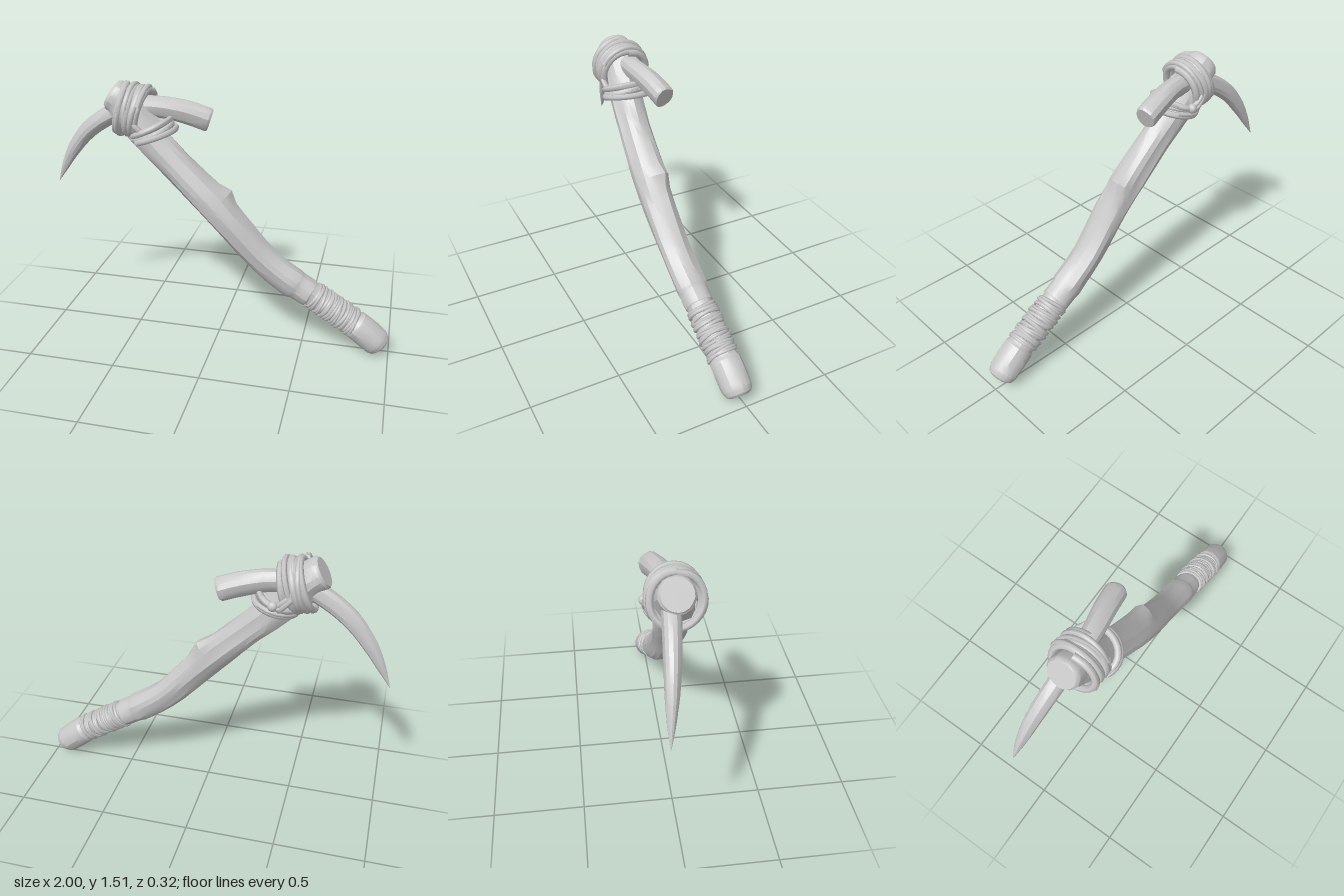
import * as THREE from 'three';
import { toCreasedNormals } from 'three/addons/utils/BufferGeometryUtils.js';

const V = (x, y, z) => new THREE.Vector3(x, y, z);

// Lofts uneven rounds along stations [x, y, z, radius]; rule(angle, point, u) scales the radius
function loft(stations, sides, perSpan, zScale, rule) {
  const curve = new THREE.CatmullRomCurve3(stations.map(s => V(s[0], s[1], s[2])));
  const spans = stations.length - 1, rings = spans * perSpan;
  const pos = [], index = [];
  for (let i = 0; i <= rings; i++) {
    const u = i / rings, k = Math.min(Math.floor(u * spans), spans - 1);
    const radius = THREE.MathUtils.lerp(stations[k][3], stations[k + 1][3], u * spans - k);
    const p = curve.getPoint(u), t = curve.getTangent(u);
    const n = V(0, 0, 1).cross(t).normalize(), b = t.clone().cross(n);
    for (let j = 0; j < sides; j++) {
      const a = j / sides * Math.PI * 2, r = radius * rule(a, p, u);
      const v = p.clone().addScaledVector(n, r * Math.cos(a)).addScaledVector(b, r * zScale * Math.sin(a));
      pos.push(v.x, v.y, v.z);
      if (i < rings) {
        const j2 = (j + 1) % sides, A = i * sides + j, B = i * sides + j2;
        index.push(A, B, A + sides, B, B + sides, A + sides);
      }
    }
  }
  // End caps
  const first = stations[0], last = stations[spans], c = pos.length / 3, top = rings * sides;
  pos.push(first[0], first[1], first[2], last[0], last[1], last[2]);
  for (let j = 0; j < sides; j++) {
    const j2 = (j + 1) % sides;
    index.push(c, j2, j, c + 1, top + j, top + j2);
  }
  const g = new THREE.BufferGeometry();
  g.setAttribute('position', new THREE.Float32BufferAttribute(pos, 3));
  g.setIndex(index);
  return toCreasedNormals(g, 0.4);
}

// A slightly untidy rope wound from one point to another
function coil(from, to, rn, rz, turns, thick, wobble, phase = 0) {
  const t = to.clone().sub(from).normalize();
  const n = V(0, 0, 1).cross(t).normalize(), b = t.clone().cross(n);
  const pts = [], steps = Math.round(turns * 14);
  for (let i = 0; i <= steps; i++) {
    const u = i / steps, a = u * turns * Math.PI * 2 + phase;
    const swell = 1 + wobble * Math.sin(a * 0.37 + 1) + wobble * 0.5 * Math.sin(a * 2.3);
    pts.push(from.clone().lerp(to, u)
      .addScaledVector(t, wobble * 0.16 * Math.sin(a * 1.35))
      .addScaledVector(n, rn * swell * Math.cos(a))
      .addScaledVector(b, rz * swell * Math.sin(a)));
  }
  return new THREE.TubeGeometry(new THREE.CatmullRomCurve3(pts), steps * 2, thick, 6, false);
}

export function createModel() {
  const group = new THREE.Group();
  const grey = new THREE.MeshStandardMaterial({ color: 0xc8c8c8 });
  grey.name = 'plain grey';
  const add = (name, geometry) => {
    const mesh = new THREE.Mesh(geometry, grey);
    mesh.name = name;
    group.add(mesh);
    return mesh;
  };

  // Crooked branch handle, with a rounded butt, grip collars and a flat cut head
  const handle = [
    [0.957, 0.052, 0.018, 0.05], [0.948, 0.06, 0.018, 0.07], [0.925, 0.08, 0.018, 0.083],
    [0.86, 0.134, 0.02, 0.086], [0.805, 0.176, 0.022, 0.084], [0.79, 0.187, 0.022, 0.074],
    [0.66, 0.272, 0.024, 0.068], [0.54, 0.345, 0.026, 0.072], [0.53, 0.35, 0.026, 0.08],
    [0.465, 0.39, 0.027, 0.081], [0.44, 0.405, 0.028, 0.087], [0.27, 0.53, 0.033, 0.083],
    [0.08, 0.735, 0.044, 0.089], [-0.07, 0.895, 0.04, 0.094], [-0.24, 1.06, 0.032, 0.088],
    [-0.38, 1.2, 0.018, 0.092], [-0.49, 1.33, 0.004, 0.1], [-0.545, 1.395, 0, 0.096],
    [-0.59, 1.428, 0, 0.092], [-0.605, 1.437, 0, 0.08],
  ];
  const knotPoint = V(-0.01, 0.855, 0.04);
  add('handle', loft(handle, 18, 3, 1, (a, p, u) => {
    const calm = THREE.MathUtils.smoothstep(u, 0.45, 0.6) * (1 - THREE.MathUtils.smoothstep(u, 0.85, 0.95));
    const grain = 0.035 * Math.sin(3 * a + 14 * u) + 0.03 * Math.sin(5 * a - 25 * u) + 0.02 * Math.sin(8 * a + 9 * u);
    const d = p.distanceTo(knotPoint) / 0.045;
    const side = Math.max(0, -Math.cos(a - 0.25));
    return 1 + grain * (0.3 + calm) + 0.36 * Math.exp(-d * d) * side ** 4;
  }));

  // One curved piece through the head: blunt stub at one end, spike at the other
  const pick = [
    [-0.068, 1.302, -0.068, 0.06], [-0.08, 1.306, -0.066, 0.067], [-0.2, 1.345, -0.046, 0.066],
    [-0.35, 1.37, -0.02, 0.06], [-0.5, 1.36, -0.02, 0.058], [-0.63, 1.305, -0.03, 0.054],
    [-0.77, 1.205, -0.045, 0.05], [-0.875, 1.08, -0.06, 0.04], [-0.945, 0.965, -0.072, 0.024],
    [-1, 0.86, -0.082, 0.002],
  ];
  add('pickSpike', loft(pick, 14, 3, 0.9, (a, p, u) =>
    1 + 0.035 * Math.sin(3 * a + 6 * u) + 0.02 * Math.sin(5 * a - 9 * u)));

  // Thin cord bound round the grip, in two crossing layers
  const gripLow = V(0.785, 0.19, 0.022), gripHigh = V(0.545, 0.343, 0.026);
  add('gripCord', coil(gripLow, gripHigh, 0.073, 0.078, 13, 0.0105, 0.03));
  add('gripCordOver', coil(gripHigh, gripLow, 0.076, 0.081, 8, 0.009, 0.04, 2));

  // Thick rope lashing round the head, with a second layer
  add('headLashing', coil(V(-0.545, 1.365, 0.005), V(-0.41, 1.33, 0.005), 0.132, 0.128, 5, 0.02, 0.04));
  add('headLashingOver', coil(V(-0.43, 1.34, 0.005), V(-0.525, 1.36, 0.005), 0.14, 0.134, 3, 0.015, 0.04, 2));

  // Rope lashing below the stub
  add('neckLashing', coil(V(-0.365, 1.215, 0.01), V(-0.39, 1.285, 0.008), 0.118, 0.13, 3, 0.018, 0.04, 1));
  add('neckLashingOver', coil(V(-0.37, 1.235, 0.006), V(-0.385, 1.275, 0.006), 0.122, 0.136, 2, 0.014, 0.05, 4));

  // Diagonal tie and its knot at the back
  add('crossTie', coil(V(-0.44, 1.29, 0), V(-0.425, 1.305, 0), 0.13, 0.135, 1.5, 0.016, 0.03, 3));
  const knot = add('ropeKnot', new THREE.SphereGeometry(0.027, 10, 8));
  knot.position.set(-0.37, 1.275, -0.132);
  return group;
}
